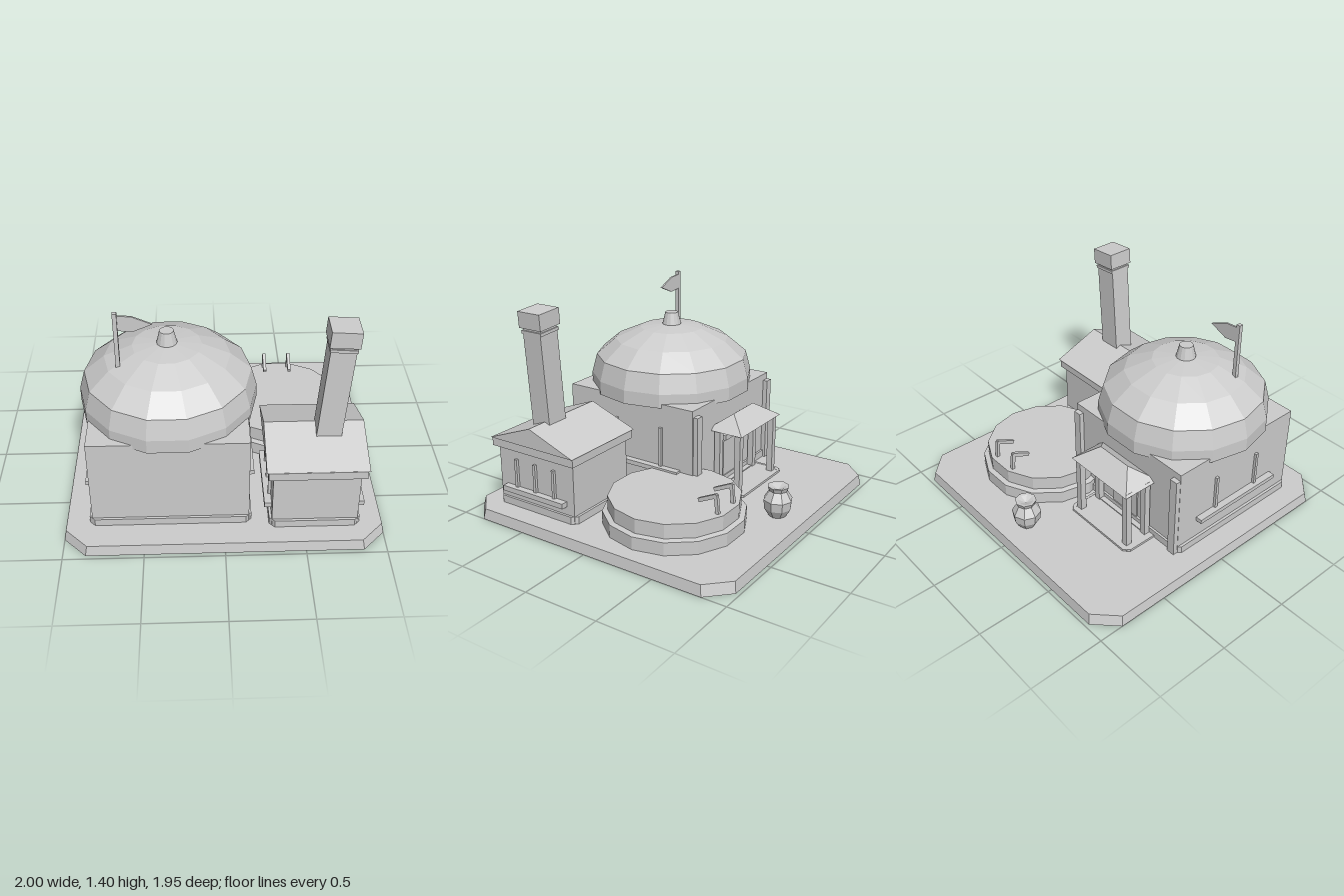
import * as THREE from 'three';
import { ConvexGeometry } from 'three/addons/geometries/ConvexGeometry.js';

export function createModel() {
  const model = new THREE.Group();
  const stone = new THREE.MeshStandardMaterial({ color: 0xcccccc, flatShading: true, side: THREE.DoubleSide });
  stone.name = 'light grey stone';

  const add = (name, geometry, parent = model) => {
    const mesh = new THREE.Mesh(geometry, stone);
    mesh.name = name;
    parent.add(mesh);
    return mesh;
  };
  // Box given by its limits on each axis
  const box = (name, x0, x1, y0, y1, z0, z1, parent) => {
    const mesh = add(name, new THREE.BoxGeometry(x1 - x0, y1 - y0, z1 - z0), parent);
    mesh.position.set((x0 + x1) / 2, (y0 + y1) / 2, (z0 + z1) / 2);
    return mesh;
  };
  // Many-sided turned part with a corner pointing to +x
  const turned = (name, profile, sides, x, z) => {
    const points = profile.map(([r, y]) => new THREE.Vector2(r, y));
    const mesh = add(name, new THREE.LatheGeometry(points, sides, Math.PI / 2));
    mesh.position.set(x, 0, z);
    return mesh;
  };
  // Rectangle with cut corners, as eight points
  const cutRect = (hx, hz, c) => [
    [hx, hz - c], [hx - c, hz], [c - hx, hz], [-hx, hz - c],
    [-hx, c - hz], [c - hx, -hz], [hx - c, -hz], [hx, c - hz],
  ].map(([x, y]) => new THREE.Vector2(x, y));
  // Foundation band with cut corners around a building
  const band = (name, x0, x1, z0, z1, y0, y1) => {
    const hx = (x1 - x0) / 2, hz = (z1 - z0) / 2, t = 0.018;
    const shape = new THREE.Shape(cutRect(hx, hz, 0.035));
    shape.holes.push(new THREE.Path(cutRect(hx - t, hz - t, 0.03)));
    const g = new THREE.ExtrudeGeometry(shape, { depth: y1 - y0, bevelEnabled: false });
    g.rotateX(-Math.PI / 2);
    add(name, g).position.set((x0 + x1) / 2, y0, (z0 + z1) / 2);
  };
  // Upright slats above a projecting sill on a side wall
  const sideWindows = (wallX, side, zMid, sillLength, sillY, sillH, top, offsets) => {
    const span = (a, b) => [wallX + side * a, wallX + side * b].sort((p, q) => p - q);
    box('windowSill', ...span(-0.01, 0.045), sillY, sillY + sillH, zMid - sillLength / 2, zMid + sillLength / 2);
    for (const o of offsets) {
      box('windowSlat', ...span(-0.01, 0.018), sillY + sillH, top, zMid + o - 0.01, zMid + o + 0.01);
    }
  };

  // Ground slab: tapered sides and top, open underneath
  const low = cutRect(1, 0.975, 0.14), high = cutRect(0.988, 0.963, 0.14);
  const slab = [];
  for (let i = 0; i < 8; i++) {
    const j = (i + 1) % 8;
    const a = [low[i].x, 0, low[i].y], b = [low[j].x, 0, low[j].y];
    const c = [high[j].x, 0.07, high[j].y], d = [high[i].x, 0.07, high[i].y];
    slab.push(...a, ...d, ...b, ...b, ...d, ...c, ...d, 0, 0.07, 0, ...c);
  }
  const slabGeometry = new THREE.BufferGeometry();
  slabGeometry.setAttribute('position', new THREE.Float32BufferAttribute(slab, 3));
  slabGeometry.computeVertexNormals();
  add('groundSlab', slabGeometry);

  // Main domed house
  const hx = -0.335, hz = 0.27;
  box('houseWalls', -0.825, 0.155, 0.07, 0.7, -0.225, 0.77);
  band('houseFoundation', -0.843, 0.17, -0.24, 0.787, 0.035, 0.12);
  turned('dome', [[0, 0.673], [0.555, 0.673], [0.555, 0.765], [0.52, 0.893], [0.39, 1.003], [0.215, 1.08], [0, 1.105]], 14, hx, hz);
  turned('domeFinial', [[0.064, 1.085], [0.064, 1.1], [0.044, 1.18], [0, 1.18]], 14, hx, hz);
  for (const x of [-0.795, 0.117]) box('backPilaster', x - 0.028, x + 0.028, 0.07, 0.655, -0.257, -0.22);
  sideWindows(-0.825, -1, 0.27, 0.68, 0.25, 0.03, 0.52, [-0.18, 0.18]);
  sideWindows(0.155, 1, 0.2, 0.66, 0.24, 0.03, 0.54, [-0.18, 0.18]);

  // Flag on the dome
  box('flagPole', -0.64, -0.614, 0.98, 1.396, 0.402, 0.428);
  const flag = new THREE.Shape([[-0.615, 1.375], [-0.53, 1.368], [-0.41, 1.315], [-0.53, 1.265], [-0.615, 1.275]]
    .map(([x, y]) => new THREE.Vector2(x, y)));
  add('flag', new THREE.ExtrudeGeometry(flag, { depth: 0.012, bevelEnabled: false })).position.z = 0.404;

  // Back porch with hipped roof
  band('porchFoundation', -0.625, -0.053, -0.475, -0.2, 0.035, 0.085);
  box('porchFloor', -0.61, -0.068, 0.068, 0.083, -0.46, -0.22);
  box('doorStep', -0.58, -0.1, 0.03, 0.09, -0.275, -0.215);
  box('door', -0.45, -0.22, 0.08, 0.4, -0.234, -0.22);
  box('doorLintel', -0.49, -0.18, 0.4, 0.435, -0.275, -0.22);
  for (const x of [-0.56, -0.11]) {
    for (const z of [-0.416, -0.262]) box('porchPost', x - 0.021, x + 0.021, 0.08, 0.51, z - 0.021, z + 0.021);
  }
  const roof = [[-0.455, 0.597, -0.32], [-0.2, 0.597, -0.32]];
  for (const x of [-0.597, -0.07]) for (const z of [-0.457, -0.185]) roof.push([x, 0.497, z]);
  add('porchRoof', new ConvexGeometry(roof.map((p) => new THREE.Vector3(...p))));

  // Small gabled house
  box('annexWalls', 0.294, 0.83, 0.07, 0.48, 0.205, 0.817);
  band('annexFoundation', 0.278, 0.846, 0.188, 0.835, 0.035, 0.12);
  box('annexEaves', 0.262, 0.86, 0.467, 0.527, 0.18, 0.847);
  const gable = new THREE.Shape([[-0.85, 0.525], [-0.173, 0.525], [-0.513, 0.653]]
    .map(([x, y]) => new THREE.Vector2(x, y)));
  const gableGeometry = new THREE.ExtrudeGeometry(gable, { depth: 0.622, bevelEnabled: false });
  gableGeometry.rotateY(Math.PI / 2);
  add('annexRoof', gableGeometry).position.x = 0.25;
  for (const [x, s] of [[0.83, 1], [0.294, -1]]) {
    sideWindows(x, s, 0.515, 0.5, 0.175, 0.035, 0.4, [-0.155, 0, 0.155]);
  }

  // Leaning chimney
  const chimney = new THREE.Group();
  chimney.name = 'chimney';
  chimney.position.set(0.64, 0.55, 0.545);
  chimney.rotation.z = -0.07;
  model.add(chimney);
  const block = (name, w, d, y0, y1) => box(name, -w / 2, w / 2, y0, y1, -d / 2, d / 2, chimney);
  block('chimneyShaft', 0.155, 0.14, -0.03, 0.68);
  block('chimneyCollar', 0.165, 0.157, 0.68, 0.7);
  block('chimneyNeck', 0.145, 0.14, 0.7, 0.72);
  block('chimneyCap', 0.18, 0.174, 0.717, 0.822);

  // Two-step round platform
  turned('platform', [[0.455, 0.07], [0.455, 0.155], [0.42, 0.162], [0.42, 0.256], [0, 0.256]], 14, 0.433, -0.277);

  // Pair of bent levers on the platform
  const bar = (name, x, y0, z0, y1, z1, t) => {
    const mesh = add(name, new THREE.BoxGeometry(0.022, t, Math.hypot(y1 - y0, z1 - z0)));
    mesh.position.set(x, (y0 + y1) / 2, (z0 + z1) / 2);
    mesh.rotation.x = -Math.atan2(y1 - y0, z1 - z0);
  };
  for (const x of [0.342, 0.52]) {
    bar('leverPost', x, 0.25, -0.645, 0.375, -0.632, 0.022);
    bar('leverArm', x, 0.312, -0.512, 0.372, -0.638, 0.025);
  }

  // Pot with a flared rim
  turned('pot', [[0, 0.071], [0.055, 0.071], [0.088, 0.125], [0.095, 0.185], [0.058, 0.245], [0.07, 0.275], [0.05, 0.272], [0, 0.25]], 8, 0.01, -0.778);

  return model;
}
